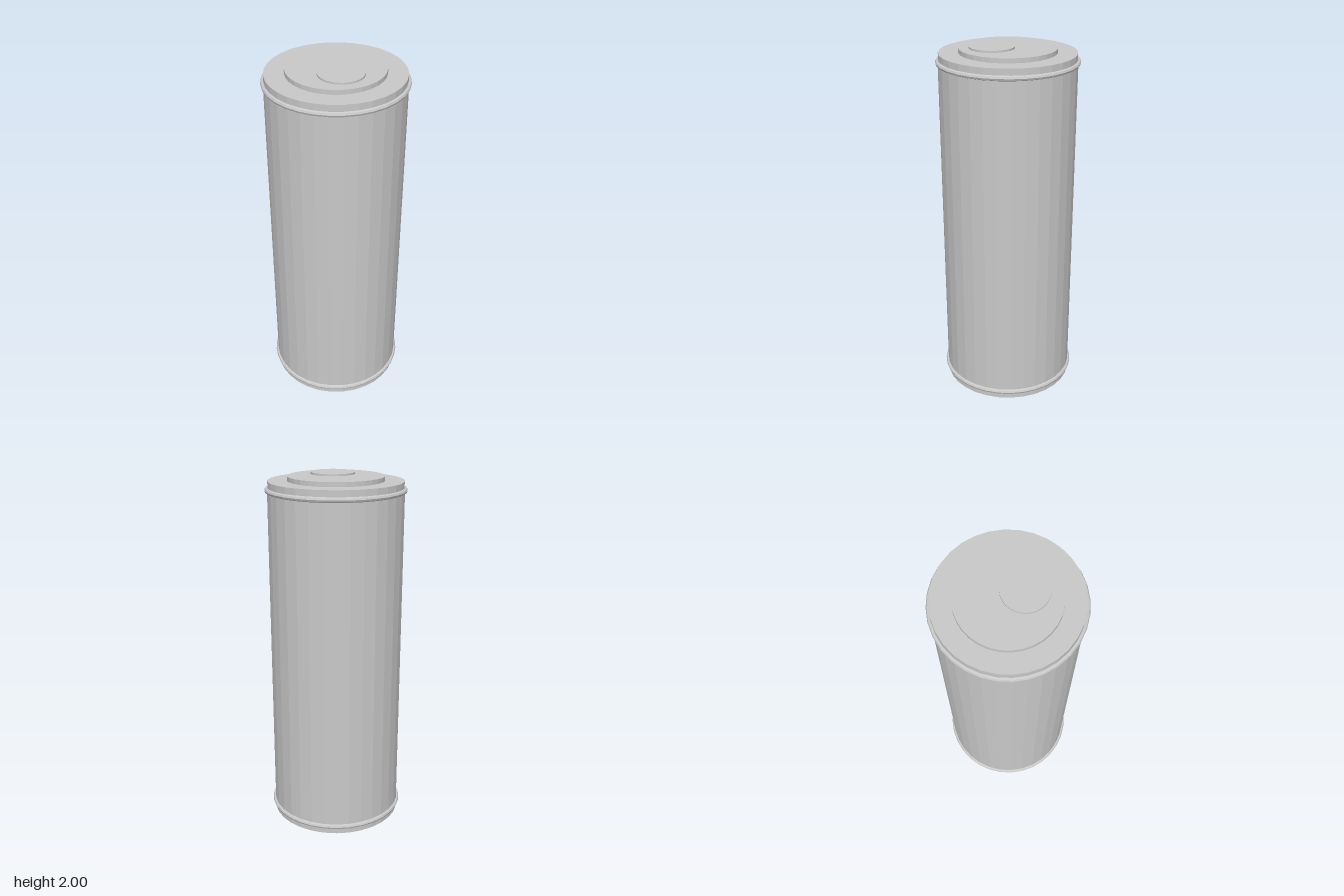
import * as THREE from 'three';

const SIDES = 32;

export function createModel() {
  const group = new THREE.Group();
  const metal = new THREE.MeshStandardMaterial({ color: 0xc8c8c8, flatShading: true });
  metal.name = 'grey metal';

  const add = (name, geometry, y, z = 0) => {
    const mesh = new THREE.Mesh(geometry, metal);
    mesh.name = name;
    mesh.position.set(0, y, z);
    group.add(mesh);
  };
  const disc = (name, radius, bottom, top, z = 0) =>
    add(name, new THREE.CylinderGeometry(radius, radius, top - bottom, SIDES), (bottom + top) / 2, z);
  const ring = (name, y) =>
    add(name, new THREE.TorusGeometry(0.373, 0.014, 8, SIDES).rotateX(Math.PI / 2), y);

  // Main can
  disc('body', 0.373, 0, 1.92);

  // Rolled seams around both ends
  ring('lowerSeam', 0.044);
  ring('upperSeam', 1.917);

  // Stepped lid with an off-centre cap towards the front
  disc('lid', 0.37, 1.92, 1.965);
  disc('raisedPlate', 0.264, 1.965, 1.99);
  disc('cap', 0.122, 1.99, 2, 0.088);

  return group;
}
